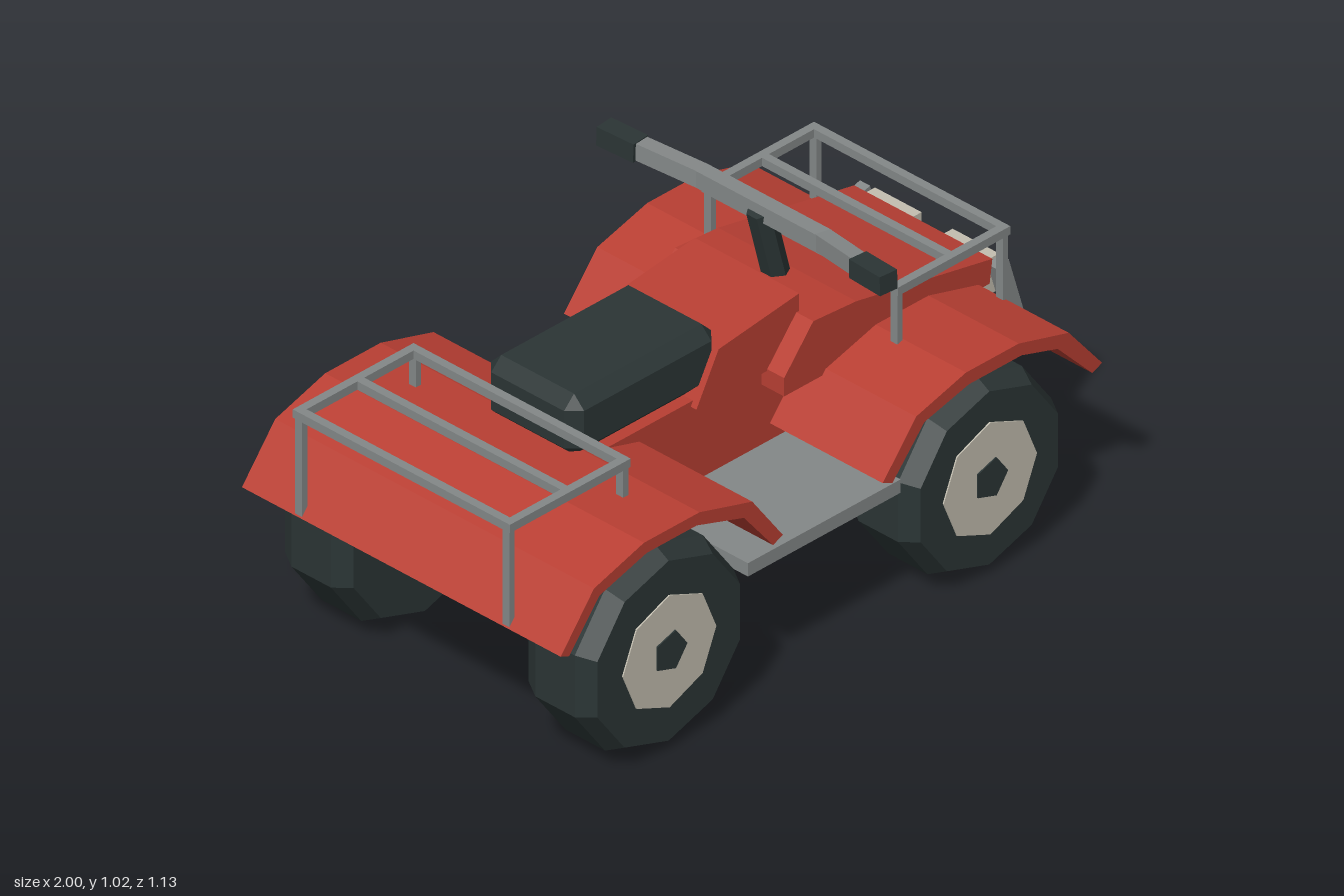
import * as THREE from 'three';
import { ConvexGeometry } from 'three/addons/geometries/ConvexGeometry.js';

const paint = (name, color) => {
  const m = new THREE.MeshStandardMaterial({ color, flatShading: true });
  m.name = name;
  return m;
};

export function createModel() {
  const red = paint('red bodywork', 0xb93f33);
  const dark = paint('dark rubber', 0x2b3535);
  const grey = paint('grey metal', 0x848888);
  const pale = paint('pale trim', 0xc3beb0);
  const quad = new THREE.Group();
  quad.name = 'quadBike';

  const add = (name, geo, mat, parent = quad) => {
    const mesh = new THREE.Mesh(geo, mat);
    mesh.name = name;
    parent.add(mesh);
    return mesh;
  };
  const box = (name, mat, [x0, x1], [y0, y1], [z0, z1], parent) =>
    add(name, new THREE.BoxGeometry(x1 - x0, y1 - y0, z1 - z0), mat, parent)
      .position.set((x0 + x1) / 2, (y0 + y1) / 2, (z0 + z1) / 2);
  // Straight rectangular bar between two points
  const bar = (name, mat, a, b, w, h, parent) => {
    const p = new THREE.Vector3(...a), q = new THREE.Vector3(...b);
    const mesh = add(name, new THREE.BoxGeometry(w, h, p.distanceTo(q)), mat, parent);
    mesh.position.copy(p).add(q).multiplyScalar(0.5);
    mesh.lookAt(q);
  };
  // Side profile (x, y) extruded across the width
  const slab = (name, points, halfWidth) => {
    const shape = new THREE.Shape(points.map(([x, y]) => new THREE.Vector2(x, y)));
    const geo = new THREE.ExtrudeGeometry(shape, { depth: halfWidth * 2, bevelEnabled: false });
    add(name, geo.translate(0, 0, -halfWidth), red);
  };

  // Bodywork
  box('body', red, [-0.545, 0.245], [0.28, 0.655], [-0.165, 0.165]);
  slab('tankCowl', [[-0.125, 0.64], [0.245, 0.64], [0.245, 0.82], [-0.045, 0.785]], 0.185);
  slab('hood', [[0.13, 0.59], [0.87, 0.59], [0.88, 0.66], [0.39, 0.757], [0.235, 0.768], [0.13, 0.645]], 0.245);
  slab('rearFender', [
    [-1, 0.47], [-0.88, 0.62], [-0.7, 0.675], [-0.5, 0.675], [-0.31, 0.62], [-0.2, 0.47],
    [-0.235, 0.455], [-0.34, 0.585], [-0.51, 0.64], [-0.69, 0.64], [-0.86, 0.59], [-0.97, 0.458]], 0.565);
  slab('frontFender', [
    [0.16, 0.46], [0.28, 0.605], [0.46, 0.655], [0.65, 0.655], [0.83, 0.605], [0.95, 0.46],
    [0.915, 0.445], [0.79, 0.575], [0.66, 0.615], [0.47, 0.615], [0.31, 0.575], [0.195, 0.445]], 0.565);
  box('footboard', grey, [-0.29, 0.26], [0.37, 0.41], [-0.53, 0.53]);

  // Seat: box with chamfered edges
  const corners = [], half = [0.265, 0.092, 0.165], cut = 0.036;
  for (const sx of [-1, 1]) for (const sy of [-1, 1]) for (const sz of [-1, 1])
    for (let full = 0; full < 3; full++)
      corners.push(new THREE.Vector3(...[sx, sy, sz].map((s, i) => s * (half[i] - (i === full ? 0 : cut)))));
  add('seat', new ConvexGeometry(corners), dark).position.set(-0.28, 0.747, 0);

  // Wheels and axles
  for (const [end, x, r] of [['rear', -0.6, 0.3], ['front', 0.555, 0.29]]) {
    const profile = [[0, -0.122], [r - 0.03, -0.122], [r, -0.07], [r, 0.07], [r - 0.03, 0.122], [0, 0.122]]
      .map(p => new THREE.Vector2(...p));
    for (const side of [1, -1]) {
      const wheel = new THREE.Group();
      wheel.name = end + (side > 0 ? 'LeftWheel' : 'RightWheel');
      wheel.position.set(x, r, side * 0.432);
      add('tyre', new THREE.LatheGeometry(profile, 10).rotateX(Math.PI / 2), dark, wheel);
      add('hubcap', new THREE.CylinderGeometry(0.168, 0.168, 0.006, 8).rotateX(Math.PI / 2), pale, wheel)
        .position.z = side * 0.123;
      add('hubCentre', new THREE.CylinderGeometry(0.06, 0.06, 0.008, 5).rotateX(Math.PI / 2).rotateZ(Math.PI / 2), dark, wheel)
        .position.z = side * 0.126;
      quad.add(wheel);
    }
    add(end + 'Axle', new THREE.CylinderGeometry(0.025, 0.025, 0.7, 5).rotateX(Math.PI / 2), dark)
      .position.set(x, r + 0.012, 0);
  }
  add('driveShaft', new THREE.CylinderGeometry(0.032, 0.032, 1.18, 6).rotateZ(Math.PI / 2), dark)
    .position.set(-0.01, 0.302, 0);

  // Steering
  const stem = add('steeringStem', new THREE.CylinderGeometry(0.037, 0.037, 0.24, 6), dark);
  stem.position.set(0.323, 0.852, 0);
  stem.rotation.z = 0.26;
  bar('handlebarMiddle', grey, [0.3, 0.968, -0.225], [0.3, 0.968, 0.225], 0.045, 0.05);
  for (const s of [1, -1]) {
    bar('handlebarArm', grey, [0.3, 0.968, s * 0.215], [0.252, 0.995, s * 0.4], 0.045, 0.05);
    bar('grip', dark, [0.253, 0.993, s * 0.385], [0.242, 0.997, s * 0.505], 0.058, 0.056);
  }

  // Luggage racks: rim, cross bar and four legs
  const rack = (name, x0, x1, top, z, xMid, rearFoot, frontFoot) => {
    const g = new THREE.Group(), t = 0.025;
    g.name = name;
    for (const x of [x0, xMid - t / 2, x1 - t])
      box('crossRail', grey, [x, x + t], [top - t, top], [-z, z], g);
    for (const s of [1, -1]) {
      const zs = s > 0 ? [z - t, z] : [-z, t - z];
      box('sideRail', grey, [x0, x1], [top - t, top], zs, g);
      const legZ = zs.map(v => v - s * 0.005);
      box('rearLeg', grey, [x0 + 0.003, x0 + t - 0.003], [rearFoot, top - t], legZ, g);
      box('frontLeg', grey, [x1 - t + 0.003, x1 - 0.003], [frontFoot, top - t], legZ, g);
    }
    quad.add(g);
  };
  rack('rearRack', -1, -0.565, 0.785, 0.385, -0.78, 0.47, 0.65);
  rack('frontRack', 0.435, 0.84, 0.823, 0.348, 0.64, 0.64, 0.595);

  // Headlights and front bumper
  for (const s of [1, -1]) {
    box('headlight', pale, [0.86, 0.93], [0.535, 0.642], s > 0 ? [0.055, 0.22] : [-0.22, -0.055]);
    bar('bumperUpright', grey, [0.9, 0.642, s * 0.246], [0.978, 0.387, s * 0.246], 0.036, 0.042);
  }
  bar('bumperBar', grey, [0.967, 0.387, -0.24], [0.967, 0.387, 0.24], 0.036, 0.042);
  return quad;
}
